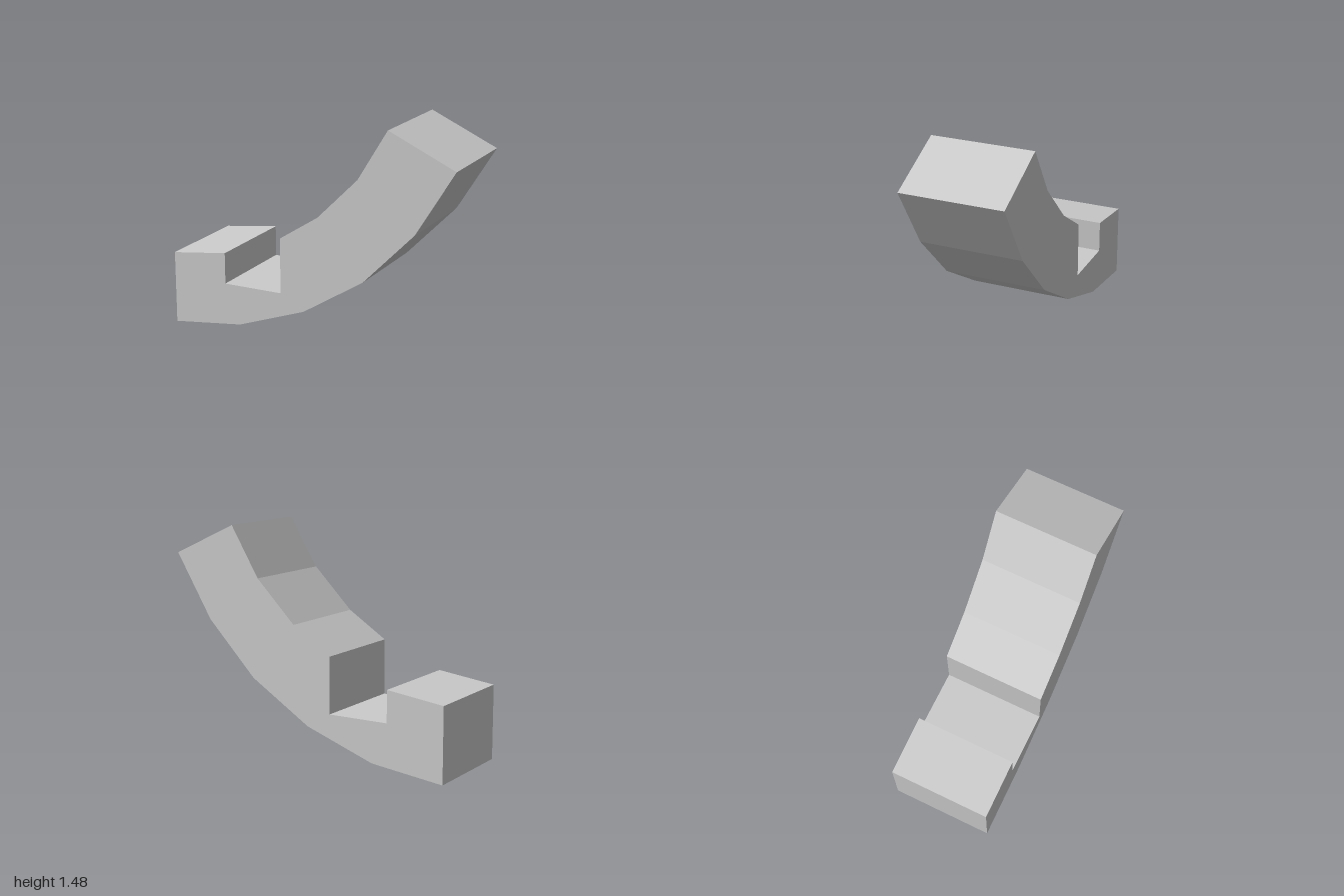
import * as THREE from 'three';

const DEPTH = 0.68;

export function createModel() {
  const group = new THREE.Group();

  // Side outline of the curved block, counter-clockwise
  const outline = [
    // outer curve, from the low end up to the raised end
    [-1, 0], [-0.505, 0.06], [-0.03, 0.23], [0.39, 0.495], [0.735, 0.85], [0.995, 1.275],
    // raised end face and inner curve
    [0.55, 1.48], [0.35, 1.15], [0.075, 0.875], [-0.195, 0.7],
    // square notch
    [-0.195, 0.33], [-0.61, 0.33], [-0.61, 0.54],
    // top of the low end
    [-1, 0.49],
  ];
  const shape = new THREE.Shape(outline.map(([x, y]) => new THREE.Vector2(x, y)));

  const geometry = new THREE.ExtrudeGeometry(shape, { depth: DEPTH, bevelEnabled: false });
  geometry.translate(0, 0, -DEPTH / 2);

  const block = new THREE.Mesh(
    geometry,
    new THREE.MeshStandardMaterial({ color: 0xcccccc, flatShading: true })
  );
  block.name = 'notchedCurvedBlock';
  group.add(block);
  return group;
}
